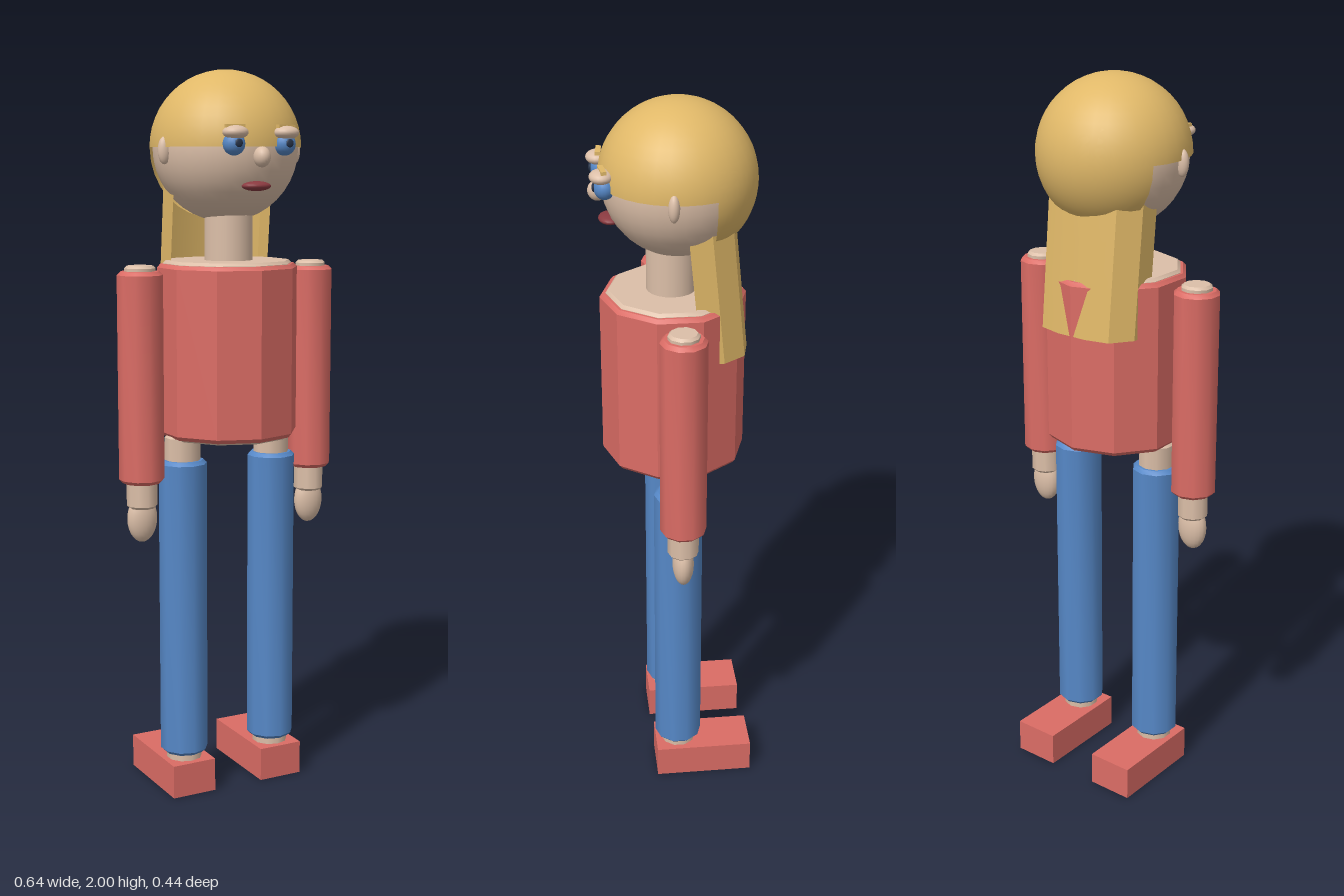
import * as THREE from 'three';
import { toCreasedNormals } from 'three/addons/utils/BufferGeometryUtils.js';

export function createModel() {
  const mat = (name, color, side = THREE.FrontSide) => {
    const m = new THREE.MeshStandardMaterial({ color, side });
    m.name = name;
    return m;
  };
  const skin = mat('skin', 0xdcbfa8);
  const hair = mat('golden hair', 0xe0b868, THREE.DoubleSide);
  const red = mat('red cloth', 0xdb6c65);
  const blue = mat('blue denim', 0x5688c7);
  const lips = mat('dark red lips', 0x8a3a40);
  const dark = mat('dark pupil', 0x27344a);

  const model = new THREE.Group();
  const add = (name, geo, material, x = 0, y = 0, z = 0, parent = model) => {
    const mesh = new THREE.Mesh(geo, material);
    mesh.name = name;
    mesh.position.set(x, y, z);
    parent.add(mesh);
    return mesh;
  };
  const ball = (rx, ry, rz) => new THREE.SphereGeometry(1, 20, 14).scale(rx, ry, rz);
  // Ten-sided bar with a small bevel at both ends
  const bar = (r, y0, y1, bevel, crease) => toCreasedNormals(new THREE.LatheGeometry([
    [0, y0], [r - bevel, y0], [r, y0 + bevel], [r, y1 - bevel], [r - bevel, y1], [0, y1],
  ].map(p => new THREE.Vector2(...p)), 10), crease);

  // Torso
  add('torso', bar(0.178, 1.01, 1.495, 0.008, 0.5), skin);
  const shirt = toCreasedNormals(new THREE.LatheGeometry([
    [0.17, 1.016], [0.185, 1.016], [0.194, 1.027], [0.194, 1.476], [0.185, 1.486], [0.17, 1.486],
  ].map(p => new THREE.Vector2(...p)), 10), 0.5);
  add('shirt', shirt, red);
  add('neck', new THREE.CylinderGeometry(0.066, 0.066, 0.16, 20), skin, 0, 1.56, 0.005);

  // Limbs
  for (const s of [-1, 1]) {
    const side = s > 0 ? 'left' : 'right';
    const arm = new THREE.Group();
    arm.name = side + 'Arm';
    arm.position.x = s * 0.263;
    model.add(arm);
    add('armCore', bar(0.042, 0.83, 1.487, 0.007, 0.7), skin, 0, 0, 0, arm);
    add('sleeve', bar(0.062, 0.9, 1.472, 0.01, 0.7), red, 0, 0, 0, arm);
    add('hand', ball(0.043, 0.066, 0.029), skin, 0, 0.8, 0, arm);

    const leg = new THREE.Group();
    leg.name = side + 'Leg';
    leg.position.x = s * 0.139;
    model.add(leg);
    add('legCore', bar(0.05, 0.08, 1.02, 0.005, 0.7), skin, 0, 0, 0, leg);
    add('trouserLeg', bar(0.067, 0.113, 0.953, 0.01, 0.7), blue, 0, 0, 0, leg);
    add('shoe', new THREE.BoxGeometry(0.13, 0.094, 0.276), red, 0, 0.047, -0.072, leg);
  }

  // Head
  const head = new THREE.Group();
  head.name = 'head';
  head.position.set(0, 1.795, -0.012);
  model.add(head);
  add('face', new THREE.SphereGeometry(0.197, 32, 20), skin, 0, 0, 0, head);
  add('nose', ball(0.022, 0.027, 0.026), skin, 0, -0.025, 0.204, head);
  add('mouth', ball(0.041, 0.013, 0.03), lips, 0, -0.1, 0.174, head);
  for (const s of [-1, 1]) {
    add('ear', ball(0.018, 0.036, 0.015), skin, s * 0.197, -0.008, 0.03, head);
    add('eyeball', ball(0.03, 0.03, 0.028), blue, s * 0.075, 0.008, 0.19, head);
    add('pupil', ball(0.011, 0.011, 0.004), dark, s * 0.075, 0.01, 0.218, head);
    add('eyelid', ball(0.035, 0.018, 0.031), skin, s * 0.075, 0.037, 0.198, head);
    const brow = add('eyebrow', new THREE.BoxGeometry(0.053, 0.009, 0.014), hair,
      s * 0.075, 0.053, 0.196, head);
    brow.rotation.y = s * 0.12;
  }

  // Hair cap and the shell behind the ears
  add('hairCap', new THREE.SphereGeometry(0.205, 32, 12, 0, Math.PI * 2, 0, Math.PI / 2), hair, 0, 0.001, 0, head);
  const back = new THREE.SphereGeometry(0.2045, 32, 12, 0, Math.PI * 2, 0, 1.17).rotateX(-Math.PI / 2);
  add('hairBack', back, hair, 0, 0, 0, head);

  // Long hair: bent sheet that slants backwards as it falls
  const half = [[0.15, -0.045], [0.152, -0.105], [0.112, -0.163], [0.045, -0.178]];
  const section = [...half, ...half.slice().reverse().map(([x, z]) => [-x, z])];
  const rows = [1.34, 1.48, 1.6, 1.73];
  const pos = [], index = [];
  rows.forEach((y, r) => section.forEach(([x, z], i) => {
    pos.push(x, y, z + (y - 1.48) * 0.1);
    if (r && i) {
      const a = (r - 1) * section.length + i - 1, b = a + section.length;
      index.push(a, a + 1, b, a + 1, b + 1, b);
    }
  }));
  const sheet = new THREE.BufferGeometry();
  sheet.setAttribute('position', new THREE.Float32BufferAttribute(pos, 3));
  sheet.setIndex(index);
  add('longHair', toCreasedNormals(sheet, 0.5), hair);

  return model;
}
